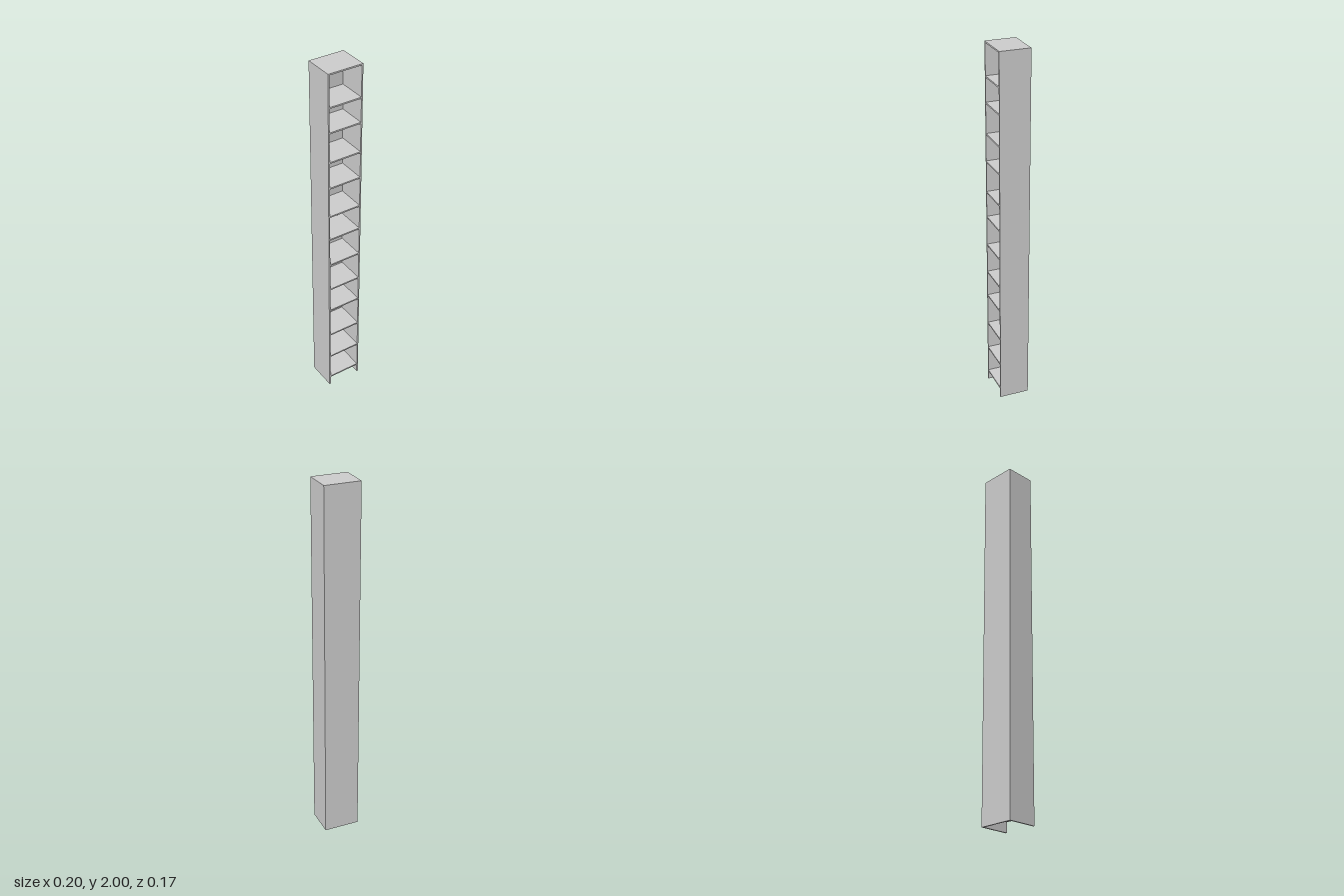
import * as THREE from 'three';

const W = 0.198, H = 2, D = 0.166, T = 0.008;
const SHELF_HEIGHTS = [0.058, 0.217, 0.381, 0.561, 0.71, 0.877, 1.044, 1.189, 1.363, 1.514, 1.682, 1.82];

export function createModel() {
  const group = new THREE.Group();
  group.name = 'tallShelf';
  const material = new THREE.MeshStandardMaterial({ color: 0xcccccc });

  const board = (name, w, h, d, x, y, z) => {
    const mesh = new THREE.Mesh(new THREE.BoxGeometry(w, h, d), material);
    mesh.name = name;
    mesh.position.set(x, y, z);
    group.add(mesh);
  };

  // Full-height side panels
  for (const [name, s] of [['leftSide', 1], ['rightSide', -1]]) {
    board(name, T, H, D, s * (W - T) / 2, H / 2, 0);
  }

  // Back panel and top board between the sides
  const inner = W - 2 * T;
  board('backPanel', inner, H - T, T, 0, (H - T) / 2, -(D - T) / 2);
  board('topBoard', inner, T, D, 0, H - T / 2, 0);

  // Unevenly spaced shelves in front of the back panel
  SHELF_HEIGHTS.forEach((y, i) => board(`shelf${i + 1}`, inner, T, D - T, 0, y, T / 2));

  return group;
}
